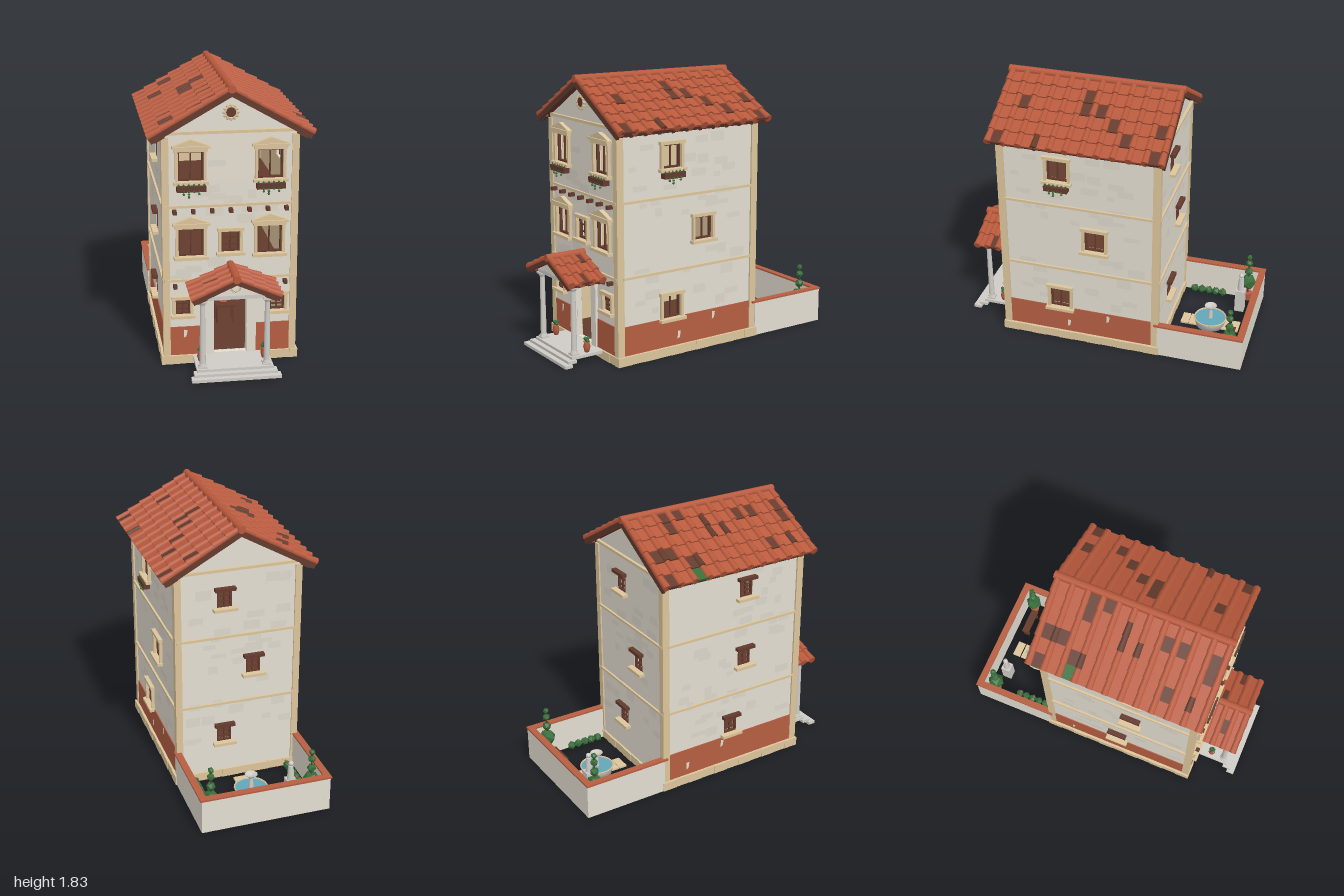
import * as THREE from 'three';

const mat = (name, color) => Object.assign(new THREE.MeshStandardMaterial({ color }), { name });
const M = {
  plaster: mat('plaster', 0xe4ded1), patch: mat('worn plaster', 0xddd7ca), stone: mat('sandstone', 0xdcc59c),
  clay: mat('terracotta paint', 0xb65e42), tile: mat('roof tile', 0xb8593c), wood: mat('dark wood', 0x643a2d),
  marble: mat('pale marble', 0xcfccc6), leaf: mat('leaf', 0x376c3a), water: mat('water', 0x62a6b8), dark: mat('dark floor', 0x3e271f),
};
let seed = 7;
const rnd = () => (seed = (seed * 16807) % 2147483647) / 2147483647;

function add(parent, geo, m, name, x = 0, y = 0, z = 0) {
  const mesh = new THREE.Mesh(geo, m);
  mesh.name = name;
  mesh.position.set(x, y, z);
  parent.add(mesh);
  return mesh;
}
const box = (p, m, name, w, h, d, x, y, z) => add(p, new THREE.BoxGeometry(w, h, d), m, name, x, y, z);
const cyl = (p, m, name, r1, r2, h, x, y, z, n = 12) => add(p, new THREE.CylinderGeometry(r1, r2, h, n), m, name, x, y, z);
const bush = (p, name, r, x, y, z, m = M.leaf) => add(p, new THREE.IcosahedronGeometry(r, 0), m, name, x, y, z);
const lathe = (p, m, name, pts, n, x, y, z) => add(p, new THREE.LatheGeometry(pts.map(([a, b]) => new THREE.Vector2(a, b)), n), m, name, x, y, z);
function group(parent, name, x = 0, y = 0, z = 0, ry = 0) {
  const g = new THREE.Group();
  g.name = name;
  g.position.set(x, y, z);
  g.rotation.y = ry;
  parent.add(g);
  return g;
}
function plate(points, depth, holes = []) {
  const toV = ([x, y]) => new THREE.Vector2(x, y);
  const s = new THREE.Shape(points.map(toV));
  for (const o of holes) {
    const a = o.u - o.w / 2, b = o.u + o.w / 2, c = o.v - o.h / 2, d = o.v + o.h / 2;
    s.holes.push(new THREE.Path([[a, c], [a, d], [b, d], [b, c]].map(toV)));
  }
  return new THREE.ExtrudeGeometry(s, { depth, bevelEnabled: false });
}
const rect = (a, b, c, d) => [[a, c], [b, c], [b, d], [a, d]];

// Gabled tile roof: slabs, pan tiles, cover ribs, barge boards, rafter tails and ridge
function roof(parent, name, pitch, halfW, apex, z0, z1, cols, rows, slab) {
  const L = halfW / Math.cos(pitch), D = z1 - z0, rowL = L / rows, step = (D - 0.055) / cols;
  const g = group(parent, name, 0, apex, (z0 + z1) / 2);
  const pan = new THREE.BoxGeometry(rowL + 0.008, 0.012, step * 0.94);
  const rib = new THREE.CylinderGeometry(0.02, 0.026, rowL + 0.006, 8).rotateZ(Math.PI / 2);
  for (const s of [1, -1]) {
    const side = group(g, 'roofSlope');
    side.rotation.set(0, s < 0 ? Math.PI : 0, -pitch);
    box(side, M.wood, 'roofBoards', L - 0.01, slab, D - 0.03, (L - 0.01) / 2, -slab / 2, 0);
    for (const e of [-1, 1]) box(side, M.wood, 'bargeBoard', L, slab + 0.008, 0.02, L / 2, -slab / 2 - 0.002, e * (D / 2 - 0.015));
    for (let c = 0; c <= cols; c++) {
      const z = -D / 2 + 0.0275 + c * step;
      box(side, M.wood, 'rafterTail', 0.07, 0.018, 0.02, L - 0.055, -slab - 0.007, z);
      for (let r = 0; r < rows; r++) {
        const x = (r + 0.5) * rowL;
        add(side, rib, rnd() < 0.015 ? M.wood : M.tile, 'coverTile', x, 0.01, z).rotation.z = 0.05;
        if (c === cols) continue;
        const moss = s < 0 && r === rows - 1 && c === 8 && cols > 5;
        const m = moss ? M.leaf : rnd() < 0.12 ? M.wood : M.tile;
        add(side, pan, m, 'panTile', x, 0.009, z + step / 2).rotation.z = 0.1;
      }
    }
  }
  cyl(g, M.tile, 'ridgeTiles', 0.026, 0.026, D, 0, 0.008, 0, 10).rotation.x = Math.PI / 2;
}

// Window parts, set on a wall group whose +z points outwards
function windowUnit(wall, o) {
  const g = group(wall, 'window', o.u, o.v, 0), { w, h } = o, t = 0.011;
  for (const e of [-1, 1]) {
    box(g, M.wood, 'sash', t, h, 0.02, e * (w - t) / 2, 0, -0.012);
    box(g, M.wood, 'sash', w, t, 0.02, 0, e * (h - t) / 2, -0.012);
  }
  for (let i = 1; i < o.cols; i++) box(g, M.wood, 'mullion', 0.008, h, 0.012, w * (i / o.cols - 0.5), 0, -0.012);
  for (let i = 1; i < o.rows; i++) box(g, M.wood, 'glazingBar', w, 0.008, 0.012, 0, h * (i / o.rows - 0.5), -0.012);
  box(g, M.stone, 'sill', w + 0.06, 0.02, 0.045, 0, -h / 2 - 0.01, 0.017);
  if (o.type === 'rustic') {
    box(g, M.wood, 'lintel', w + 0.04, 0.022, 0.04, 0, h / 2 + 0.011, 0.015);
    return;
  }
  for (const e of [-1, 1]) box(g, M.stone, 'jamb', 0.018, h, 0.025, e * (w / 2 + 0.009), 0, 0.008);
  box(g, M.stone, 'lintel', w + 0.05, 0.022, 0.032, 0, h / 2 + 0.011, 0.012);
  if (o.type === 'pediment') {
    const b = h / 2 + 0.022;
    box(g, M.stone, 'cornice', w + 0.075, 0.014, 0.045, 0, b + 0.007, 0.018);
    add(g, plate([[-w / 2 - 0.035, b + 0.014], [w / 2 + 0.035, b + 0.014], [0, b + 0.056]], 0.03), M.stone, 'pediment');
  }
  if (o.flowers) {
    const y = -h / 2 - 0.042;
    box(g, M.wood, 'flowerBox', w + 0.022, 0.036, 0.045, 0, y, 0.03);
    for (let i = 0; i < 6; i++) {
      const x = (i / 5 - 0.5) * w;
      bush(g, 'flowerLeaves', 0.014, x, y + 0.024, 0.03);
      if (i % 2) bush(g, 'blossom', 0.007, x - 0.012, y + 0.034, 0.036, M.plaster);
      if (i > 0 && i < 5) for (let k = 0; k < 1 + i % 3; k++) bush(g, 'trailingLeaves', 0.009, x, y - 0.014 - k * 0.017, 0.048);
    }
  }
}

// One wall: pierced plaster, inner lining, painted dado, patches, string courses and windows
function buildWall(root, name, pos, ry, u0, u1, gable, dado, openings) {
  const g = group(root, name, ...pos, ry);
  const outline = gable ? [[u0, 0.03], [u1, 0.03], [u1, 1.525], [0, 1.765], [u0, 1.525]] : rect(u0, u1, 0.03, 1.525);
  add(g, plate(outline, 0.036, openings), M.plaster, 'plasterWall', 0, 0, -0.036);
  add(g, plate(rect(u0 + 0.01, u1 - 0.01, 0.06, 1.5), 0.004, openings), M.stone, 'innerLining', 0, 0, -0.0405);
  if (dado) {
    const door = openings.some((o) => o.door);
    const parts = door ? [[u0, -0.135], [0.135, u1]] : [[u0, u1]];
    for (const [a, b] of parts) box(g, M.clay, 'paintedDado', b - a, 0.195, 0.008, (a + b) / 2, 0.1575, 0.002);
    for (const [u, v] of door ? [[-0.29, 0.21]] : [[-0.22, 0.13], [0.06, 0.215]]) {
      add(g, plate([[u - 0.012, v - 0.03], [u + 0.006, v - 0.022], [u + 0.014, v + 0.02], [u - 0.008, v + 0.025]], 0.001), M.plaster, 'peeledPaint', 0, 0, 0.0055);
    }
  }
  for (let i = 0; i < 40; i++) {
    const w = 0.05 + rnd() * 0.07, h = 0.03 + rnd() * 0.04;
    const u = u0 + 0.08 + rnd() * (u1 - u0 - 0.16), v = 0.3 + rnd() * 1.16;
    if (openings.some((o) => Math.abs(o.u - u) < (o.w + w) / 2 + 0.01 && Math.abs(o.v - v) < (o.h + h) / 2 + 0.01)) continue;
    add(g, new THREE.PlaneGeometry(w, h), M.patch, 'plasterPatch', u, v, 0.0006 + i * 0.00002);
  }
  for (const y of [0.575, 1.065]) box(g, M.stone, 'stringCourse', u1 - u0, 0.016, 0.024, (u0 + u1) / 2, y, 0.002);
  if (gable) box(g, M.stone, 'gableCornice', u1 - u0 - 0.06, 0.018, 0.03, 0, 1.537, 0.005);
  openings.filter((o) => !o.door).forEach((o) => windowUnit(g, o));
  return g;
}

// Carved rosette with petals
function rosette(parent, r, y, z, centre) {
  const g = group(parent, 'rosette', 0, y, z);
  add(g, new THREE.TorusGeometry(r * 0.66, r * 0.14, 6, 20), M.stone, 'rosetteRing');
  cyl(g, centre, 'rosetteCentre', r * 0.6, r * 0.6, 0.01, 0, 0, 0, 16).rotation.x = Math.PI / 2;
  for (let i = 0; i < 12; i++) {
    const a = i * Math.PI / 6;
    add(g, new THREE.SphereGeometry(r * 0.18, 6, 5), M.stone, 'petal', Math.cos(a) * r * 0.82, Math.sin(a) * r * 0.82, 0);
  }
}

function potPlant(parent, x, y, z) {
  lathe(parent, M.clay, 'pot', [[0, 0], [0.015, 0], [0.024, 0.035], [0.018, 0.06], [0.023, 0.068], [0, 0.066]], 12, x, y, z);
  for (let i = 0; i < 4; i++) bush(parent, 'potLeaves', 0.014, x + Math.cos(i * 1.6) * 0.01, y + 0.078 + (i % 2) * 0.014, z + Math.sin(i * 1.6) * 0.01);
}

export function createModel() {
  const root = new THREE.Group();
  root.name = 'townhouse';

  // Walls and their openings
  const front = [{ door: true, u: 0, v: 0.265, w: 0.21, h: 0.41 }, { u: 0, v: 0.825, w: 0.12, h: 0.14, type: 'plain', cols: 2, rows: 3 }];
  for (const e of [-1, 1]) front.push(
    { u: e * 0.25, v: 1.325, w: 0.16, h: 0.19, type: 'pediment', cols: 2, flowers: true },
    { u: e * 0.25, v: 0.83, w: 0.16, h: 0.185, type: 'pediment', cols: 2 },
    { u: e * 0.305, v: 0.395, w: 0.095, h: 0.105, type: 'plain', cols: 2, rows: 3 });
  const right = [[-0.28, 1.33], [-0.03, 0.83], [-0.28, 0.335]].map(([u, v], i) => ({ u, v, w: 0.14, h: 0.155, type: 'plain', cols: 2, flowers: i === 0 }));
  const rustic = (us) => us.map((u, i) => ({ u, v: [1.335, 0.835, 0.34][i], w: 0.1, h: 0.12, type: 'rustic', cols: 2, rows: 3 }));
  const f = buildWall(root, 'frontWall', [0, 0, 0.685], 0, -0.42, 0.42, true, true, front);
  buildWall(root, 'backWall', [0, 0, -0.405], Math.PI, -0.42, 0.42, true, false, rustic([-0.095, 0.105, -0.095]));
  buildWall(root, 'rightWall', [0.42, 0, 0], Math.PI / 2, -0.655, 0.375, false, true, right);
  buildWall(root, 'leftWall', [-0.42, 0, 0], -Math.PI / 2, -0.375, 0.655, false, true, rustic([0.235, 0.23, 0.13]));
  for (let i = -3; i <= 3; i++) for (const y of [1.035, 0.54]) box(f, M.wood, 'beamEnd', 0.024, 0.024, 0.05, i * 0.118, y, 0.015);
  rosette(f, 0.053, 1.657, 0.006, M.wood);

  // Corner pilasters
  for (const x of [-1, 1]) for (const z of [0.67, -0.39]) box(root, M.stone, 'cornerPilaster', 0.045, 1.46, 0.05, x * 0.409, 0.78, z);

  // Plinth of separate blocks, alternately proud
  for (const e of [-1, 1]) {
    for (let i = 0; i < 11; i++) box(root, M.stone, 'plinthBlock', 0.05, 0.06, 0.1018, e * (0.42 - (i % 2) * 0.003), 0.03, -0.37 + i * 0.102);
    for (let i = 0; i < 8; i++) box(root, M.stone, 'plinthBlock', 0.1098, 0.058, 0.05, -0.385 + i * 0.11, 0.029, (e > 0 ? 0.676 : -0.396) - e * (i % 2) * 0.003);
  }

  // Floors, ceiling and table inside
  box(root, M.dark, 'groundSlab', 0.79, 0.045, 1.04, 0, 0.0325, 0.14);
  for (const y of [0.055, 0.565, 1.055, 1.5]) box(root, M.wood, 'roomFloor', 0.76, 0.018, 1.01, 0, y, 0.14);
  box(root, M.wood, 'tableTop', 0.14, 0.012, 0.1, 0.035, 0.19, 0.2);
  for (const x of [-0.02, 0.09]) for (const z of [0.165, 0.235]) box(root, M.wood, 'tableLeg', 0.01, 0.13, 0.01, x, 0.122, z);
  cyl(root, M.clay, 'bowl', 0.025, 0.012, 0.016, 0.03, 0.204, 0.2);

  roof(root, 'mainRoof', 0.515, 0.51, 1.8, -0.46, 0.74, 11, 6, 0.028);

  // Porch: steps, columns, entablature, gable and roof
  const porch = group(root, 'porch');
  [[0.57, 0.945, 1.0], [0.53, 0.905, 0.965], [0.49, 0.69, 0.93]].forEach(([w, a, b], i) => box(porch, M.marble, 'step', w, 0.02, b - a, 0, 0.015 + i * 0.0175, (a + b) / 2));
  for (const e of [-1, 1]) {
    const x = e * 0.205;
    box(porch, M.marble, 'columnBase', 0.055, 0.012, 0.055, x, 0.066, 0.89);
    cyl(porch, M.marble, 'columnRing', 0.023, 0.026, 0.014, x, 0.079, 0.89, 16);
    cyl(porch, M.marble, 'columnShaft', 0.016, 0.02, 0.4, x, 0.286, 0.89, 16);
    cyl(porch, M.marble, 'columnCapital', 0.026, 0.017, 0.02, x, 0.496, 0.89, 16);
    box(porch, M.marble, 'columnAbacus', 0.056, 0.012, 0.056, x, 0.512, 0.89);
    box(porch, M.marble, 'porchSideBeam', 0.04, 0.025, 0.22, x, 0.53, 0.8);
    box(porch, M.plaster, 'doorPilaster', 0.06, 0.41, 0.02, e * 0.137, 0.265, 0.693);
    potPlant(porch, x, 0.06, 0.795);
  }
  box(porch, M.plaster, 'doorLintel', 0.34, 0.045, 0.026, 0, 0.492, 0.696);
  box(porch, M.marble, 'porchFrontBeam', 0.45, 0.025, 0.04, 0, 0.53, 0.89);
  add(porch, plate([[-0.2, 0.543], [0.2, 0.543], [0.2, 0.55], [0, 0.638], [-0.2, 0.55]], 0.025), M.plaster, 'porchGable', 0, 0, 0.885);
  rosette(porch, 0.036, 0.598, 0.912, M.plaster);
  roof(porch, 'porchRoof', 0.42, 0.277, 0.66, 0.685, 0.97, 3, 3, 0.02);

  // Courtyard walls with tiled coping
  const yard = group(root, 'courtyard');
  for (const e of [-1, 1]) {
    box(yard, M.plaster, 'yardWall', 0.036, 0.235, 0.585, e * 0.42, 0.1175, -0.703);
    box(yard, M.clay, 'yardCoping', 0.046, 0.012, 0.615, e * 0.423, 0.241, -0.6925);
  }
  box(yard, M.plaster, 'yardBackWall', 0.876, 0.235, 0.036, 0, 0.1175, -0.977);
  box(yard, M.clay, 'yardBackCoping', 0.8, 0.012, 0.046, 0, 0.241, -0.977);
  for (const z of [-0.87, -0.805, -0.575, -0.515]) box(yard, M.stone, 'pathSlab', 0.112, 0.012, 0.056, 0, 0.02, z);

  // Fountain
  lathe(yard, M.marble, 'fountainBasin', [[0, 0], [0.1, 0], [0.114, 0.056], [0.108, 0.058], [0.1, 0.035], [0, 0.035]], 24, 0, 0.01, -0.69);
  add(yard, new THREE.TorusGeometry(0.111, 0.005, 6, 24), M.stone, 'fountainRim', 0, 0.067, -0.69).rotation.x = Math.PI / 2;
  cyl(yard, M.water, 'fountainWater', 0.106, 0.1, 0.006, 0, 0.06, -0.69, 24);
  cyl(yard, M.marble, 'fountainStem', 0.012, 0.018, 0.09, 0, 0.1, -0.69);
  lathe(yard, M.marble, 'fountainBowl', [[0, 0], [0.015, 0], [0.044, 0.026], [0.04, 0.027], [0, 0.012]], 20, 0, 0.14, -0.69);

  // Statue, bench and planting
  box(yard, M.marble, 'statuePlinth', 0.066, 0.17, 0.066, -0.212, 0.11, -0.86);
  cyl(yard, M.marble, 'statueBody', 0.017, 0.025, 0.1, -0.212, 0.245, -0.86);
  add(yard, new THREE.SphereGeometry(0.018, 12, 8), M.marble, 'statueHead', -0.212, 0.312, -0.86);
  box(yard, M.wood, 'benchSeat', 0.19, 0.014, 0.052, 0.215, 0.1, -0.87);
  for (const x of [0.14, 0.29]) box(yard, M.wood, 'benchLeg', 0.016, 0.075, 0.045, x, 0.057, -0.87);
  for (const e of [-1, 1]) {
    const x = e * 0.345;
    cyl(yard, M.clay, 'topiaryPot', 0.035, 0.026, 0.06, x, 0.06, -0.89);
    cyl(yard, M.wood, 'topiaryTrunk', 0.006, 0.006, 0.29, x, 0.23, -0.89, 6);
    [[0.06, 0.18], [0.032, 0.27], [0.027, 0.34], [0.021, 0.39]].forEach(([r, y], i) => { bush(yard, 'topiary', r, x, y, -0.89).rotation.y = i + e; });
    for (let i = 0; i < 5; i++) {
      bush(yard, 'hedgePlant', 0.03, e * 0.332, 0.06, -0.71 + i * 0.052).rotation.set(i, i * 2, 0);
      if (e < 0 && i % 2 === 0) bush(yard, 'hedgeBlossom', 0.008, -0.322, 0.087, -0.7 + i * 0.052, M.clay);
    }
  }
  return root;
}
